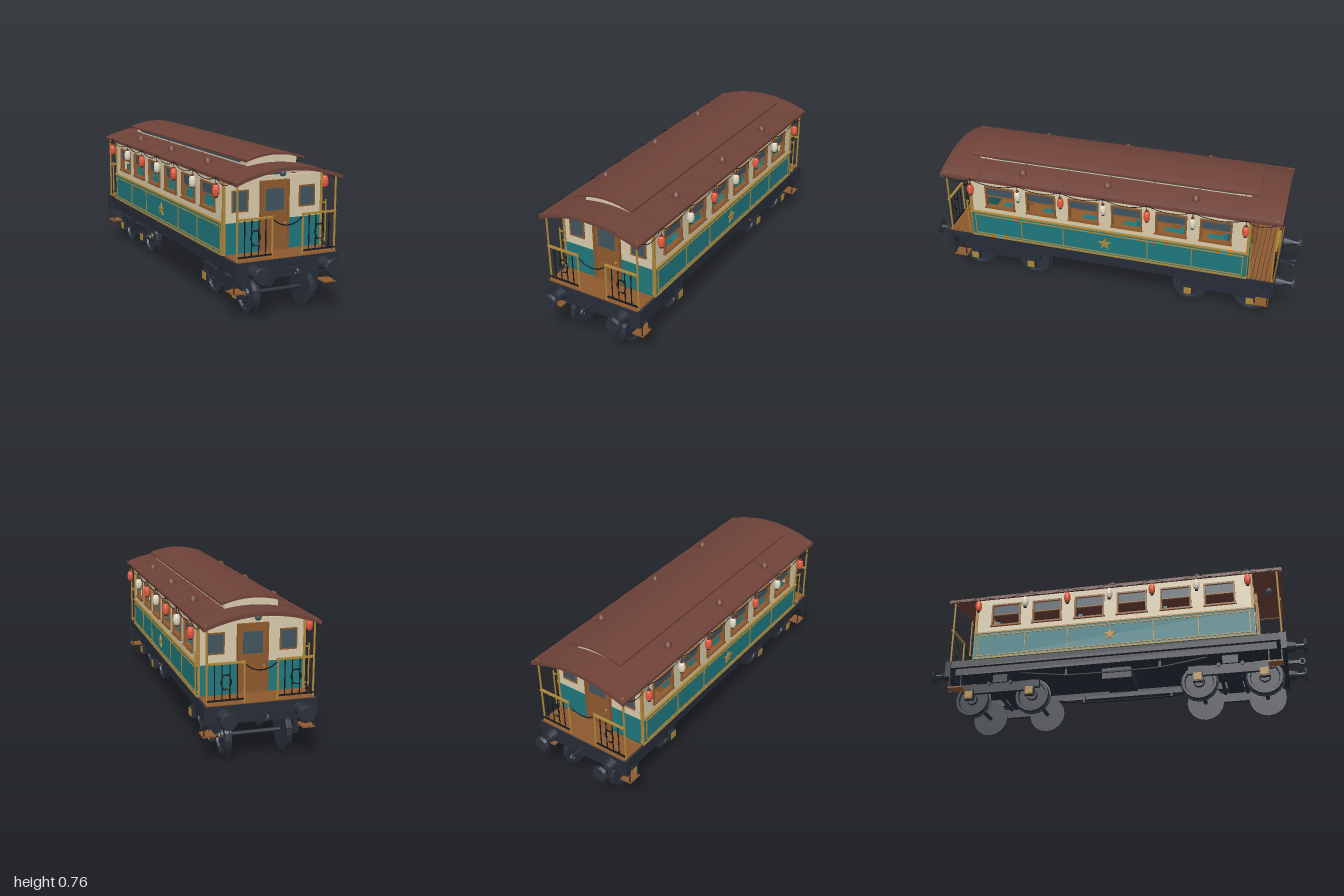
import * as THREE from 'three';

const mat = (color, flatShading = false) => new THREE.MeshStandardMaterial({ color, flatShading, side: THREE.DoubleSide });
const M = {
  roof: mat(0x6e4238), cream: mat(0xd8cbab), teal: mat(0x1f777c), gold: mat(0xae873a), wood: mat(0x8f5a2e),
  dark: mat(0x262c37), iron: mat(0x2a303b, true), black: mat(0x15181d), glass: mat(0x40545f),
  red: mat(0xe85a3c, true), pale: mat(0xe3dcc4, true), lamp: mat(0x3f5963, true), seat: mat(0x1f777c),
};

function add(parent, name, geo, material, x = 0, y = 0, z = 0) {
  const m = new THREE.Mesh(geo, material);
  m.name = name;
  m.position.set(x, y, z);
  parent.add(m);
  return m;
}
const box = (p, name, m, w, h, d, x, y, z) => add(p, name, new THREE.BoxGeometry(w, h, d), m, x, y, z);
const cyl = (p, name, m, r0, r1, h, x, y, z, axis = 'y', n = 12) => {
  const g = new THREE.CylinderGeometry(r0, r1, h, n);
  if (axis === 'x') g.rotateZ(-Math.PI / 2);
  if (axis === 'z') g.rotateX(Math.PI / 2);
  return add(p, name, g, m, x, y, z);
};
const tube = (p, name, m, pts, r, n = 12) => add(p, name,
  new THREE.TubeGeometry(new THREE.CatmullRomCurve3(pts.map(a => new THREE.Vector3(...a))), n, r, 5), m);
const group = (parent, name) => {
  const g = new THREE.Group();
  g.name = name;
  parent.add(g);
  return g;
};
const rectPath = (C, x, y, w, h) => new C([[-1, -1], [1, -1], [1, 1], [-1, 1]]
  .map(([a, b]) => new THREE.Vector2(x + a * w / 2, y + b * h / 2)));
// rectangular frame facing +z
function frame(p, name, m, x, y, w, h, t, depth, z) {
  const s = rectPath(THREE.Shape, x, y, w, h);
  s.holes.push(rectPath(THREE.Path, x, y, w - 2 * t, h - 2 * t));
  return add(p, name, new THREE.ExtrudeGeometry(s, { depth, bevelEnabled: false }), m, 0, 0, z);
}
// arched slab running along z
function arch(p, name, m, half, top, sag, thick, length, z = 0) {
  const pts = [], n = 20;
  const y = x => top - sag * (x / half) ** 2;
  for (let i = 0; i <= n; i++) { const x = half - 2 * half * i / n; pts.push(new THREE.Vector2(x, y(x))); }
  for (let i = 0; i <= n; i++) { const x = -half + 2 * half * i / n; pts.push(new THREE.Vector2(x, y(x) - thick)); }
  const g = new THREE.ExtrudeGeometry(new THREE.Shape(pts), { depth: length, bevelEnabled: false });
  return add(p, name, g, m, 0, 0, z - length / 2);
}

// Long side, built facing +z with local x along the car
function side(root, turn) {
  const g = group(root, 'bodySide');
  g.rotation.y = turn;
  const windows = [-0.58, -0.35, -0.116, 0.116, 0.35, 0.58];
  const wall = rectPath(THREE.Shape, 0, 0.545, 1.5, 0.21);
  windows.forEach(x => wall.holes.push(rectPath(THREE.Path, x, 0.547, 0.15, 0.12)));
  add(g, 'upperWall', new THREE.ExtrudeGeometry(wall, { depth: 0.015, bevelEnabled: false }), M.cream, 0, 0, 0.245);
  box(g, 'lowerWall', M.teal, 1.5, 0.15, 0.022, 0, 0.365, 0.256);
  for (const x of windows) {
    frame(g, 'windowFrame', M.wood, x, 0.547, 0.164, 0.132, 0.009, 0.024, 0.243);
    box(g, 'windowGlass', M.glass, 0.15, 0.058, 0.006, x, 0.58, 0.253);
    box(g, 'windowBar', M.wood, 0.15, 0.006, 0.012, x, 0.55, 0.255);
    box(g, 'windowSill', M.wood, 0.172, 0.007, 0.016, x, 0.482, 0.264);
  }
  // gold trim and star
  box(g, 'beltRail', M.gold, 1.51, 0.008, 0.012, 0, 0.443, 0.266);
  box(g, 'baseRail', M.gold, 1.51, 0.008, 0.012, 0, 0.294, 0.266);
  frame(g, 'panelTrim', M.gold, 0, 0.367, 1.46, 0.122, 0.005, 0.005, 0.266);
  for (const x of [-0.465, -0.23, 0.23, 0.465]) box(g, 'panelDivider', M.gold, 0.005, 0.12, 0.005, x, 0.367, 0.268);
  const star = new THREE.Shape([...Array(10).keys()].map(i => {
    const a = Math.PI / 2 + i * Math.PI / 5, r = i % 2 ? 0.014 : 0.036;
    return new THREE.Vector2(r * Math.cos(a), r * Math.sin(a));
  }));
  add(g, 'star', new THREE.ExtrudeGeometry(star, { depth: 0.007, bevelEnabled: false }), M.gold, 0, 0.367, 0.267);
  // paper lanterns hung on a garland
  const hooks = [-0.88, -0.73, -0.465, -0.23, 0, 0.23, 0.465, 0.73, 0.88];
  hooks.forEach((x, i) => {
    if (i) {
      const x0 = hooks[i - 1], path = [];
      for (let k = 0; k <= 6; k++) path.push([x0 + (x - x0) * k / 6, 0.658 - 0.1 * (k / 6) * (1 - k / 6), 0.29]);
      tube(g, 'garland', M.black, path, 0.0018);
    }
    if (i === 0 || i === 8) return;
    const l = group(g, 'lantern');
    l.position.set(x, 0.597, 0.292);
    const profile = [[0.008, -0.029], [0.014, -0.022], [0.0175, -0.008], [0.0175, 0.008], [0.014, 0.022], [0.008, 0.029]];
    add(l, 'lanternShade', new THREE.LatheGeometry(profile.map(a => new THREE.Vector2(...a)), 12), i % 2 ? M.red : M.pale);
    cyl(l, 'lanternCap', M.roof, 0.009, 0.009, 0.006, 0, 0.031, 0);
    cyl(l, 'lanternBase', M.dark, 0.009, 0.009, 0.005, 0, -0.031, 0);
    cyl(l, 'lanternWire', M.black, 0.0015, 0.0015, 0.034, 0, 0.048, 0, 'y', 5);
  });
  // underframe sill and truss rod
  box(g, 'soleBar', M.dark, 1.7, 0.04, 0.03, 0, 0.232, 0.235);
  tube(g, 'trussRod', M.black, [[-0.5, 0.22, 0.2], [-0.27, 0.188, 0.2], [-0.24, 0.185, 0.2], [0.24, 0.185, 0.2], [0.27, 0.188, 0.2], [0.5, 0.22, 0.2]], 0.005, 24);
  for (const x of [-0.25, 0.25]) box(g, 'trussStrut', M.dark, 0.012, 0.04, 0.012, x, 0.203, 0.2);
}

// End wall, platform and couplings, built facing +z
function carEnd(root, turn) {
  const g = group(root, 'carEnd');
  g.rotation.y = turn;
  box(g, 'endWallUpper', M.cream, 0.51, 0.21, 0.015, 0, 0.545, 0.742);
  box(g, 'endWallLower', M.teal, 0.53, 0.15, 0.02, 0, 0.365, 0.742);
  box(g, 'door', M.wood, 0.134, 0.335, 0.018, 0, 0.457, 0.752);
  frame(g, 'doorFrame', M.wood, 0, 0.459, 0.152, 0.34, 0.009, 0.02, 0.748);
  box(g, 'doorGlass', M.glass, 0.096, 0.105, 0.006, 0, 0.537, 0.76);
  add(g, 'doorKnob', new THREE.SphereGeometry(0.006, 10, 8), M.gold, 0.054, 0.42, 0.767);
  // platform
  for (let i = 0; i < 6; i++) box(g, 'floorPlank', M.wood, 0.52, 0.008, 0.021, 0, 0.289, 0.767 + i * 0.0235);
  box(g, 'endBeam', M.dark, 0.55, 0.088, 0.03, 0, 0.244, 0.885);
  tube(g, 'safetyChain', M.black, [[-0.077, 0.472, 0.885], [-0.04, 0.448, 0.885], [0, 0.44, 0.885], [0.04, 0.448, 0.885], [0.077, 0.472, 0.885]], 0.003);
  cyl(g, 'lampStem', M.dark, 0.003, 0.003, 0.02, 0, 0.695, 0.83);
  add(g, 'platformLamp', new THREE.SphereGeometry(0.018, 8, 6), M.lamp, 0, 0.675, 0.83);
  add(g, 'couplingHook', new THREE.TorusGeometry(0.015, 0.007, 6, 12).rotateY(Math.PI / 2), M.iron, 0, 0.24, 0.972);
  box(g, 'couplingBar', M.iron, 0.012, 0.016, 0.07, 0, 0.24, 0.93);
  for (const s of [-1, 1]) {
    frame(g, 'endWindowFrame', M.wood, s * 0.179, 0.541, 0.086, 0.104, 0.006, 0.012, 0.745);
    box(g, 'endWindowGlass', M.glass, 0.076, 0.094, 0.006, s * 0.179, 0.541, 0.75);
    box(g, 'cornerTrim', M.gold, 0.012, 0.36, 0.014, s * 0.26, 0.47, 0.747);
    cyl(g, 'roofPost', M.gold, 0.005, 0.005, 0.375, s * 0.257, 0.475, 0.88);
    // railing
    cyl(g, 'gatePost', M.gold, 0.005, 0.005, 0.2, s * 0.08, 0.39, 0.885);
    box(g, 'topRail', M.gold, 0.18, 0.009, 0.012, s * 0.168, 0.484, 0.885);
    box(g, 'bottomRail', M.black, 0.18, 0.007, 0.007, s * 0.168, 0.31, 0.885);
    for (const x of [0.114, 0.15, 0.187, 0.222]) cyl(g, 'railBar', M.black, 0.0028, 0.0028, 0.18, s * x, 0.395, 0.885, 'y', 6);
    const ring = add(g, 'railRing', new THREE.TorusGeometry(0.026, 0.003, 5, 6), M.black, s * 0.168, 0.396, 0.888);
    ring.scale.y = 1.5;
    ring.rotation.z = 0;
    // grab rail beside the platform
    cyl(g, 'grabRail', M.gold, 0.004, 0.004, 0.21, s * 0.279, 0.41, 0.765, 'y', 8);
    for (const y of [0.32, 0.5]) box(g, 'grabRailMount', M.gold, 0.02, 0.006, 0.006, s * 0.27, y, 0.765);
    // buffers
    cyl(g, 'bufferHousing', M.iron, 0.022, 0.034, 0.05, s * 0.185, 0.243, 0.92, 'z', 14);
    cyl(g, 'bufferShaft', M.iron, 0.014, 0.014, 0.05, s * 0.185, 0.243, 0.965, 'z');
    cyl(g, 'bufferHead', M.iron, 0.037, 0.043, 0.014, s * 0.185, 0.243, 0.991, 'z', 14);
    // boarding step
    box(g, 'step', M.wood, 0.062, 0.007, 0.075, s * 0.244, 0.137, 0.84);
    for (const z of [0.808, 0.872]) box(g, 'stepHanger', M.dark, 0.005, 0.075, 0.006, s * 0.268, 0.172, z);
  }
}

// Four-wheel truck
function bogie(root, z) {
  const g = group(root, 'bogie');
  g.position.z = z;
  const profile = [[0, -0.015], [0.099, -0.015], [0.099, -0.008], [0.092, -0.005], [0.09, 0.015], [0.076, 0.015],
    [0.072, 0.005], [0.03, 0.005], [0.026, 0.016], [0, 0.016]].map(a => new THREE.Vector2(...a));
  cyl(g, 'pivot', M.dark, 0.04, 0.05, 0.06, 0, 0.2, 0);
  box(g, 'bolster', M.dark, 0.38, 0.035, 0.08, 0, 0.184, 0);
  for (const s of [-1, 1]) {
    box(g, 'sideFrame', M.dark, 0.02, 0.05, 0.3, s * 0.195, 0.145, 0);
    box(g, 'sideBearer', M.dark, 0.03, 0.045, 0.08, s * 0.195, 0.195, 0);
    const az = s * 0.167;
    cyl(g, 'axle', M.dark, 0.011, 0.011, 0.4, 0, 0.103, az, 'x');
    cyl(g, 'crossBar', M.dark, 0.01, 0.01, 0.43, 0, 0.168, s * 0.06, 'x', 8);
    for (const t of [-1, 1]) {
      add(g, 'wheel', new THREE.LatheGeometry(profile, 16).rotateZ(-t * Math.PI / 2), M.iron, t * 0.15, 0.103, az);
      cyl(g, 'hubCap', M.gold, 0.012, 0.012, 0.008, t * 0.17, 0.103, az, 'x');
      box(g, 'axleBox', M.dark, 0.024, 0.052, 0.05, t * 0.208, 0.11, az);
      box(g, 'axleBoxCover', M.gold, 0.006, 0.038, 0.04, t * 0.221, 0.11, az);
      box(g, 'frameHorn', M.dark, 0.02, 0.04, 0.1, t * 0.195, 0.152, az);
    }
  }
}

export function createModel() {
  const root = new THREE.Group();
  root.name = 'railwayCarriage';
  for (const s of [0, 1]) {
    side(root, Math.PI / 2 + s * Math.PI);
    carEnd(root, s * Math.PI);
    bogie(root, s ? -0.612 : 0.612);
  }
  // floor and underframe
  box(root, 'underframe', M.dark, 0.54, 0.036, 1.77, 0, 0.268, 0);
  box(root, 'cabinFloor', M.wood, 0.5, 0.008, 1.48, 0, 0.29, 0);
  box(root, 'batteryBox', M.dark, 0.2, 0.06, 0.16, 0, 0.22, 0);
  // bench seats
  for (const z of [0.52, 0.29, 0.06, -0.17, -0.4, -0.63]) for (const s of [-1, 1]) {
    const visible = [0.29, -0.17, -0.63].includes(z);
    box(root, 'seatCushion', M.seat, 0.17, 0.04, 0.11, s * 0.15, 0.37, z + 0.06);
    box(root, 'seatBase', M.wood, 0.15, 0.06, 0.09, s * 0.15, 0.32, z + 0.06);
    box(root, 'seatBack', M.seat, 0.17, visible ? 0.15 : 0.11, 0.02, s * 0.15, visible ? 0.445 : 0.425, z);
  }
  // main roof with ribs and raised centre
  arch(root, 'mainRoof', M.roof, 0.275, 0.71, 0.055, 0.012, 1.81);
  for (const s of [-1, 1]) {
    arch(root, 'roofEndRim', M.roof, 0.279, 0.712, 0.057, 0.017, 0.012, s * 0.9);
    box(root, 'roofEdge', M.roof, 0.012, 0.015, 1.81, s * 0.274, 0.65, 0);
    box(root, 'clerestoryGlass', M.glass, 0.006, 0.022, 1.32, s * 0.131, 0.717, 0);
    for (const z of [-0.46, 0, 0.46]) {
      const vent = [[0.021, 0], [0.021, 0.01], [0.015, 0.022], [0.006, 0.03], [0, 0.032]].map(a => new THREE.Vector2(...a));
      add(root, 'roofVent', new THREE.LatheGeometry(vent, 12), M.roof, s * 0.207, 0.68, z);
    }
  }
  for (const z of [-0.7, -0.465, -0.233, 0, 0.233, 0.465, 0.7]) arch(root, 'roofRib', M.roof, 0.277, 0.713, 0.055, 0.008, 0.01, z);
  arch(root, 'clerestory', M.cream, 0.13, 0.748, 0.02, 0.044, 1.46);
  arch(root, 'clerestoryRoof', M.roof, 0.155, 0.76, 0.028, 0.01, 1.53);
  return root;
}
